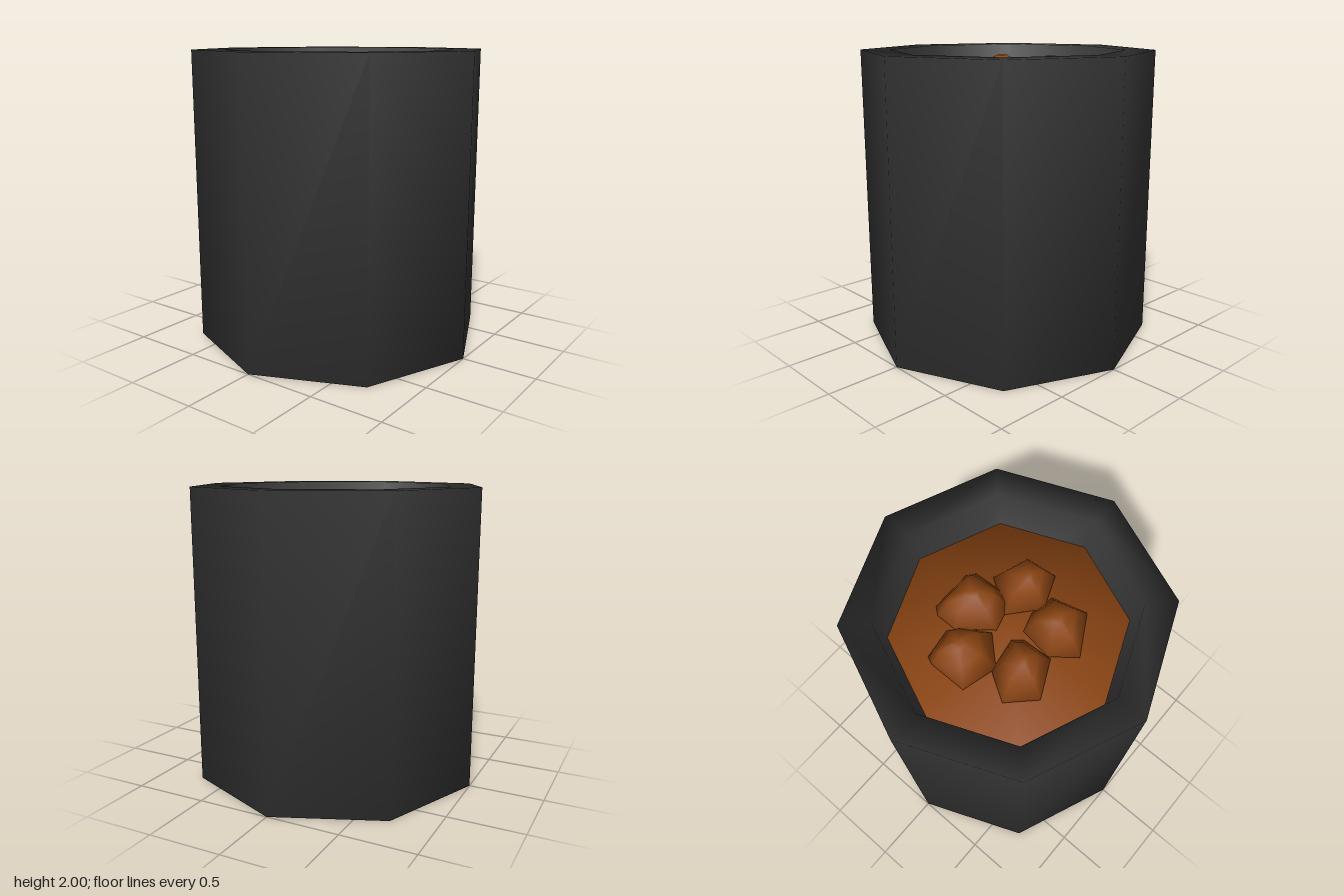
import * as THREE from 'three';

// Joins closed rings of points, from bottom to top, into one smooth capped skin
function loft(rings) {
  const n = rings[0].length;
  const points = rings.flat();
  const index = [];
  for (let i = 0; i < rings.length - 1; i++) {
    for (let j = 0; j < n; j++) {
      const k = (j + 1) % n;
      const a = i * n + j, b = i * n + k;
      index.push(a, a + n, b, b, a + n, b + n);
    }
  }
  const centre = (ring) =>
    ring.reduce((sum, p) => sum.add(p), new THREE.Vector3()).divideScalar(n);
  const start = points.push(centre(rings[0])) - 1;
  const end = points.push(centre(rings[rings.length - 1])) - 1;
  const last = (rings.length - 1) * n;
  for (let j = 0; j < n; j++) {
    const k = (j + 1) % n;
    index.push(start, j, k, end, last + k, last + j);
  }
  const geometry = new THREE.BufferGeometry().setFromPoints(points);
  geometry.setIndex(index);
  geometry.computeVertexNormals();
  return geometry;
}

// Regular octagon with a corner on each axis
function octagon(radius, y) {
  return Array.from({ length: 8 }, (_, i) => {
    const a = (i * Math.PI) / 4;
    return new THREE.Vector3(radius * Math.cos(a), y, radius * Math.sin(a));
  });
}

// Outline scaled about its own middle at height y
function scaledRing(outline, scale, y) {
  const cx = outline.reduce((s, p) => s + p[0], 0) / outline.length;
  const cz = outline.reduce((s, p) => s + p[1], 0) / outline.length;
  return outline.map(([x, z]) =>
    new THREE.Vector3(cx + (x - cx) * scale, y, cz + (z - cz) * scale));
}

export function createModel() {
  const model = new THREE.Group();
  const iron = new THREE.MeshStandardMaterial({ color: 0x333333 });
  iron.name = 'darkIron';
  const brown = new THREE.MeshStandardMaterial({ color: 0x8b4513 });
  brown.name = 'stewBrown';

  const add = (name, geometry, material, parent = model) => {
    const mesh = new THREE.Mesh(geometry, material);
    mesh.name = name;
    parent.add(mesh);
  };

  // Pot: outer wall, flat rim, tapering inner wall and floor
  add('pot', loft([octagon(1, 0), octagon(1, 2), octagon(0.8, 2), octagon(0.63, 1.3)]), iron);

  // Stew filling the pot to just below the rim
  add('stew', loft([octagon(0.64, 1.35), octagon(0.746, 1.77)]), brown);

  // Five rough chunks poking out of the stew; outlines as [x, z]
  const outlines = [
    [[-0.22, -0.39], [-0.18, -0.44], [0.1, -0.44], [0.15, -0.4], [0.16, -0.2], [0.12, -0.1], [-0.06, -0.05], [-0.22, -0.25]],
    [[0.2, -0.3], [0.44, -0.22], [0.46, -0.01], [0.24, 0.08], [0.05, -0.08]],
    [[-0.48, -0.2], [-0.46, -0.25], [-0.26, -0.28], [-0.19, -0.23], [-0.09, -0.06], [-0.25, 0.11], [-0.48, 0.05]],
    [[-0.28, 0.1], [-0.05, 0.06], [0, 0.12], [0.01, 0.32], [-0.23, 0.44], [-0.39, 0.28]],
    [[0.04, 0.08], [0.17, 0.04], [0.33, 0.07], [0.39, 0.3], [0.13, 0.45], [0.01, 0.3]],
  ];
  const chunks = new THREE.Group();
  chunks.name = 'chunks';
  model.add(chunks);
  outlines.forEach((outline, i) => {
    const rings = [[0.6, 1.6], [1, 1.78], [0.62, 1.91], [0.2, 1.95]]
      .map(([scale, y]) => scaledRing(outline, scale, y));
    add(`chunk${i + 1}`, loft(rings), brown, chunks);
  });

  return model;
}
